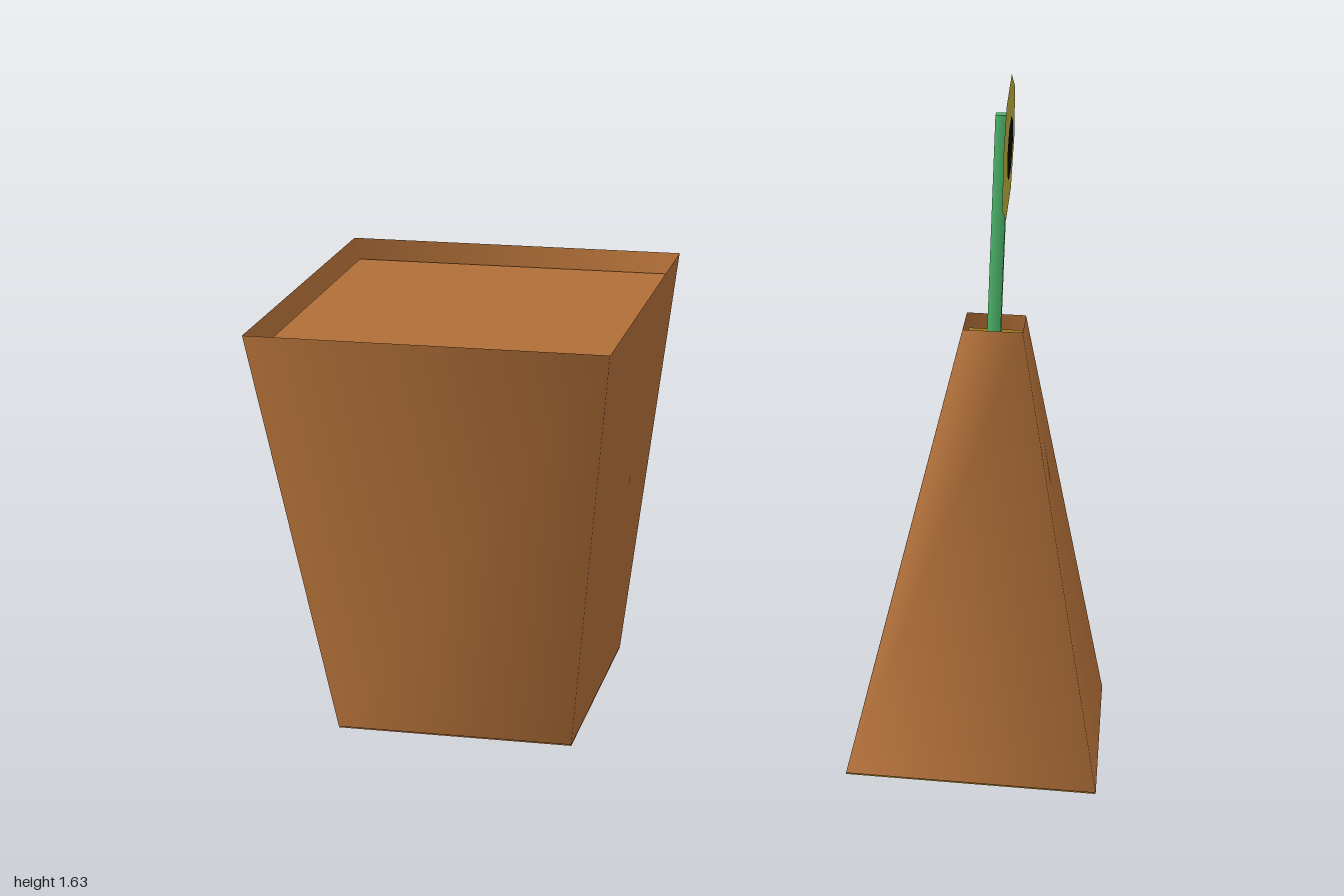
import * as THREE from 'three';

const BROWN = 0xb06e37, GOLD = 0x9c7420, GREEN = 0x4cb46a, YELLOW = 0xb6a83c, BLACK = 0x050505;
const TWIST = 0.024; // the pots stand slightly turned
const SQUARE = Math.PI / 4 + TWIST;

function part(name, geometry, color, side = THREE.DoubleSide) {
  const mesh = new THREE.Mesh(geometry, new THREE.MeshStandardMaterial({ color, side }));
  mesh.name = name;
  return mesh;
}

// Four-sided tube with smooth normals, given half-widths of its ends
function squareTube(topHalf, bottomHalf, y0, y1, open = true) {
  return new THREE.CylinderGeometry(topHalf * Math.SQRT2, bottomHalf * Math.SQRT2, y1 - y0, 4, 1, open)
    .rotateY(SQUARE)
    .translate(0, (y0 + y1) / 2, 0);
}

// Flat horizontal square, facing up or down
function squarePlate(half, y, facing = 1) {
  return new THREE.PlaneGeometry(half * 2, half * 2)
    .rotateX(-facing * Math.PI / 2)
    .rotateY(TWIST)
    .translate(0, y, 0);
}

function pot(name, x, topHalf, bottomHalf, soilHalf, soilY, soilColor) {
  const group = new THREE.Group();
  group.name = name;
  group.position.x = x;
  group.add(
    part('potWall', squareTube(topHalf, bottomHalf, 0.003, 1.043), BROWN),
    part('potBase', squarePlate(bottomHalf, 0, -1), soilColor),
    part('soil', squarePlate(soilHalf, soilY), soilColor)
  );
  return group;
}

// Flat octagon facing +x with a corner on top
function octagon(radiusZ, radiusY, x) {
  return new THREE.CircleGeometry(1, 8)
    .scale(radiusZ, radiusY, 1)
    .rotateY(Math.PI / 2)
    .translate(x, 1.458, 0.003);
}

export function createModel() {
  const model = new THREE.Group();
  model.name = 'flowerPots';

  // Wide pot that opens upward, and narrow pot that tapers upward
  const widePot = pot('widePot', -0.561, 0.429, 0.292, 0.411, 0.992, BROWN);
  const taperedPot = pot('taperedPot', 0.695, 0.069, 0.292, 0.063, 1.008, GOLD);

  // Flower growing from the tapered pot
  const flower = new THREE.Group();
  flower.name = 'flower';
  flower.add(
    part('stem', squareTube(0.0155, 0.0155, 0.98, 1.535, false), GREEN),
    part('petals', octagon(0.157, 0.17, 0.017), YELLOW),
    part('flowerCentre', octagon(0.073, 0.075, 0.02), BLACK, THREE.FrontSide)
  );
  taperedPot.add(flower);

  model.add(widePot, taperedPot);
  return model;
}
